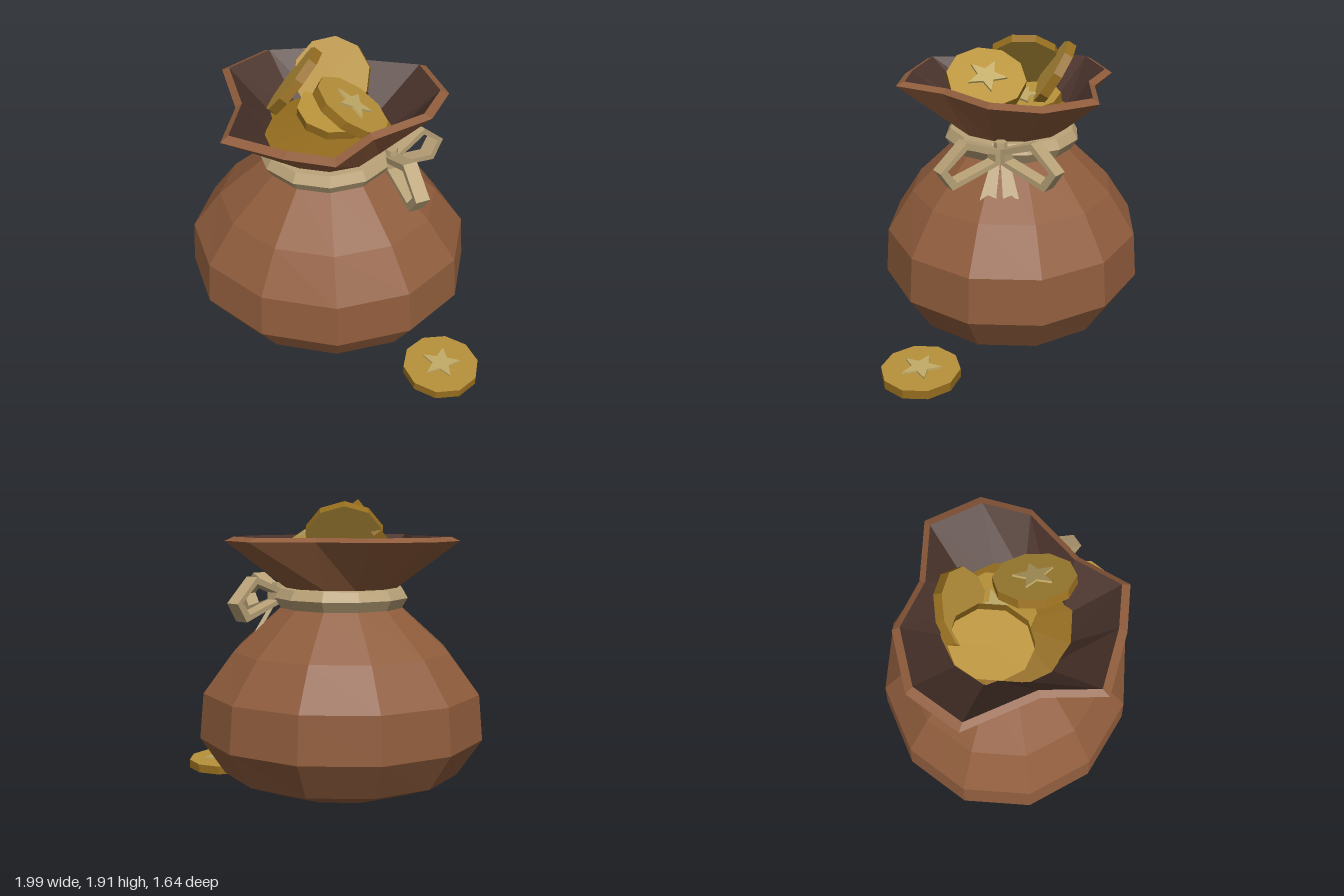
import * as THREE from 'three';

const paint = (name, color) => {
  const m = new THREE.MeshStandardMaterial({ color });
  m.name = name;
  m.flatShading = true;
  return m;
};

const CX = -0.105; // sack axis
const SIDES = 12;

// Ring of points around the sack axis, squashed along z
const ring = (r, y, squash = 1) => Array.from({ length: SIDES }, (_, i) => {
  const a = THREE.MathUtils.degToRad(-15 + i * 30);
  return [CX + r * Math.cos(a), y, r * Math.sin(a) * squash];
});

// Faceted skin through rings; rising rings face outward
function loft(rings) {
  const pos = [];
  for (let k = 0; k < rings.length - 1; k++) {
    for (let i = 0; i < SIDES; i++) {
      const j = (i + 1) % SIDES;
      const a = rings[k][i], b = rings[k + 1][i], c = rings[k + 1][j], d = rings[k][j];
      pos.push(...a, ...b, ...c, ...a, ...c, ...d);
    }
  }
  const g = new THREE.BufferGeometry();
  g.setAttribute('position', new THREE.Float32BufferAttribute(pos, 3));
  g.computeVertexNormals();
  return g;
}

export function createModel() {
  const model = new THREE.Group();
  const leather = paint('leather brown', 0x8f5c3c);
  const lining = paint('dark lining', 0x4b342c);
  const rope = paint('tan ribbon', 0xb9a278);
  const gold = paint('coin gold', 0xb8923a);
  const edgeGold = paint('dark gold', 0x946c1e);
  const starGold = paint('pale gold', 0xc2ab68);

  const add = (name, geometry, material, parent = model) => {
    const mesh = new THREE.Mesh(geometry, material);
    mesh.name = name;
    parent.add(mesh);
    return mesh;
  };

  // Wavy mouth outline (x, z), starting at -15 degrees
  const mouth = [[0.56, -0.19], [0.5, 0.1], [0.23, 0.37], [0.09, 0.65], [-0.18, 0.64], [-0.54, 0.56],
    [-0.57, 0.21], [-0.78, -0.19], [-0.6, -0.48], [-0.26, -0.59], [0.03, -0.475], [0.39, -0.485]];
  const mouthRing = (s, y) => mouth.map(([x, z]) => [CX + (x - CX) * s, y, z * s]);

  // Sack from base to folded lip
  add('sack', loft([
    ring(0, 0.02), ring(0.48, 0.06, 0.915), ring(0.77, 0.17, 0.9), ring(0.927, 0.41, 0.915),
    ring(0.9, 0.7, 0.915), ring(0.705, 0.96, 0.93), ring(0.39, 1.24, 0.95), ring(0.36, 1.36, 0.98),
    mouthRing(1.08, 1.66), mouthRing(1, 1.685),
  ]), leather);
  add('sackLining', loft([mouthRing(1, 1.685), ring(0.34, 1.39)]), lining);
  add('coinFill', loft([ring(0.4, 1.45), ring(0, 1.49)]), edgeGold);

  // Tie around the neck
  add('neckTie', loft([
    ring(0.34, 1.23), ring(0.395, 1.235), ring(0.435, 1.3), ring(0.4, 1.36), ring(0.33, 1.365),
  ]), rope);

  // Bow on the left side
  const bow = new THREE.Group();
  bow.name = 'bow';
  bow.position.set(0.3, 1.31, 0.05);
  model.add(bow);
  const toV2 = (pts) => pts.map(([x, y]) => new THREE.Vector2(x, y));
  const extrude = (shape, depth) => {
    const g = new THREE.ExtrudeGeometry(shape, { depth, bevelEnabled: false });
    return g.translate(0, 0, -depth / 2);
  };
  const knot = add('bowKnot', new THREE.CylinderGeometry(0.04, 0.05, 0.12, 6), rope, bow);
  knot.position.set(0.01, 0.015, 0);

  const loopOutline = [[0, 0.025], [0.26, 0.125], [0.44, -0.03], [0.36, -0.15], [0, -0.045]];
  const loopShape = new THREE.Shape(toV2(loopOutline));
  loopShape.holes.push(new THREE.Path(toV2(
    loopOutline.map(([x, y]) => [0.25 + (x - 0.25) * 0.74, -0.012 + (y + 0.012) * 0.68]).reverse())));
  for (const s of [1, -1]) {
    const loop = add(s > 0 ? 'bowLoopFront' : 'bowLoopBack', extrude(loopShape, 0.09), rope, bow);
    loop.rotation.y = -s * Math.atan2(0.36, 0.26);

    const tailShape = new THREE.Shape(toV2([[0, 0], [s * 0.05, 0], [s * 0.12, -0.26], [s * 0.07, -0.225], [s * 0.02, -0.245]]));
    const tailMount = new THREE.Group();
    tailMount.name = s > 0 ? 'bowTailBack' : 'bowTailFront';
    tailMount.rotation.y = Math.PI / 2;
    tailMount.position.set(0.02, -0.03, 0);
    bow.add(tailMount);
    add('tailStrip', extrude(tailShape, 0.025), rope, tailMount).rotation.x = -0.52;
  }

  // Coins, with an optional star raised on both faces
  const coinGeo = new THREE.CylinderGeometry(0.245, 0.245, 0.058, 10);
  const starShape = new THREE.Shape(toV2(Array.from({ length: 10 }, (_, i) => {
    const r = i % 2 ? 0.055 : 0.128, a = Math.PI / 2 + i * Math.PI / 5;
    return [r * Math.cos(a), r * Math.sin(a)];
  })));
  const starGeo = extrude(starShape, 0.085).rotateX(-Math.PI / 2);
  const up = new THREE.Vector3(0, 1, 0);
  const coins = [
    ['looseCoin', [0.757, 0.0425, 0.52], [0, 1, 0], true],
    ['leftPileCoin', [-0.325, 1.71, -0.07], [-0.8, 0.6, 0], false],
    ['backPileCoin', [-0.125, 1.675, -0.245], [0, 0.53, 0.85], false],
    ['frontPileCoin', [0.075, 1.7, 0.15], [0.52, 0.84, -0.12], true],
    ['lowPileCoin', [-0.06, 1.53, -0.07], [0.1, 1, 0.12], true],
  ];
  for (const [name, p, n, starred] of coins) {
    const coin = new THREE.Group();
    coin.name = name;
    coin.position.set(...p);
    coin.quaternion.setFromUnitVectors(up, new THREE.Vector3(...n).normalize());
    model.add(coin);
    add('coinDisc', coinGeo, [edgeGold, gold, gold], coin);
    if (starred) add('coinStar', starGeo, starGold, coin);
  }
  return model;
}
